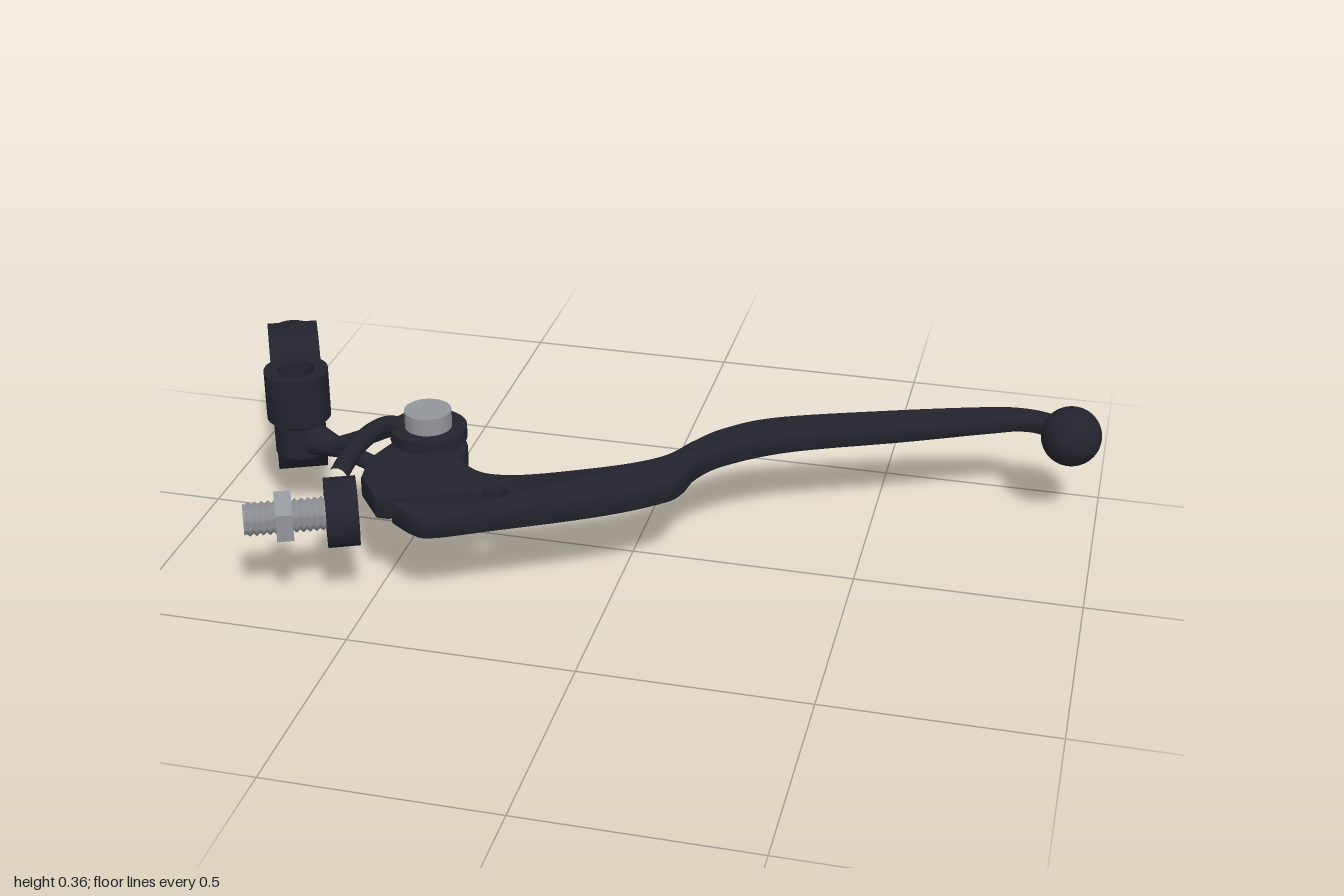
import * as THREE from 'three';
import { toCreasedNormals } from 'three/addons/utils/BufferGeometryUtils.js';

const black = new THREE.MeshStandardMaterial({ color: 0x23232e });
black.name = 'black metal';
const steel = new THREE.MeshStandardMaterial({ color: 0x92959a });
steel.name = 'bare steel';

const MID = 0.217;               // height of the lever's middle plane
const PIVOT = [-0.45, 0.06];     // lever pivot, x and z
const TURN = -1.159;             // heading of the clamp and the cable adjuster

export function createModel() {
  const model = new THREE.Group();
  model.name = 'brakeLever';

  const add = (parent, name, geometry, material, x = 0, y = 0, z = 0) => {
    const mesh = new THREE.Mesh(geometry, material);
    mesh.name = name;
    mesh.position.set(x, y, z);
    parent.add(mesh);
    return mesh;
  };
  const crease = (geometry) => toCreasedNormals(geometry, 0.6);
  // Turned part from [radius, height] points, listed from the bottom up the outside
  const turned = (points, sides = 40) =>
    crease(new THREE.LatheGeometry(points.map(([r, y]) => new THREE.Vector2(r, y)), sides));
  // Pipe section standing on y0
  const pipe = (inner, outer, y0, y1) =>
    turned([[inner, y0], [outer, y0], [outer, y1], [inner, y1], [inner, y0]]);
  const rod = (points, radius) => new THREE.TubeGeometry(
    new THREE.CatmullRomCurve3(points.map((p) => new THREE.Vector3(...p))), 24, radius, 12);
  const v2 = (points) => points.map((p) => new THREE.Vector2(...p));

  // Lever blade: outline in x and z, with a slot ending in a round hole
  const outline = new THREE.Shape();
  const hole = [-0.25, 0.222];
  outline.moveTo(-0.368, 0.085);
  outline.absarc(...PIVOT, 0.085, 0.3, -Math.PI, true);
  outline.lineTo(-0.562, 0.15);
  outline.lineTo(-0.55, 0.23);
  outline.lineTo(-0.49, 0.31);
  outline.lineTo(-0.464, 0.31);
  outline.absarc(...hole, 0.028, 3.07, 2.343 + Math.PI * 2, false);
  outline.lineTo(-0.448, 0.325);
  outline.splineThru(v2([[-0.39, 0.363], [-0.345, 0.365], [-0.24, 0.31], [-0.02, 0.19],
    [0.095, 0.105], [0.125, 0.055], [0.14, -0.015], [0.19, -0.09], [0.32, -0.185],
    [0.565, -0.29], [0.75, -0.375], [0.81, -0.4], [0.86, -0.395], [0.91, -0.35]]));
  outline.lineTo(0.94, -0.41);
  outline.splineThru(v2([[0.89, -0.44], [0.82, -0.458], [0.725, -0.443], [0.51, -0.367],
    [0.27, -0.268], [0.165, -0.185], [0.11, -0.105], [0.065, -0.025], [-0.025, 0.045],
    [-0.185, 0.127], [-0.275, 0.15], [-0.33, 0.133], [-0.368, 0.085]]));
  const blade = new THREE.ExtrudeGeometry(outline, {
    depth: 0.042, curveSegments: 8, bevelEnabled: true,
    bevelThickness: 0.006, bevelSize: 0.006, bevelOffset: -0.006, bevelSegments: 2,
  });
  blade.rotateX(Math.PI / 2);
  blade.translate(0, 0.021, 0);
  // Thin the blade towards the tip
  const pos = blade.attributes.position;
  for (let i = 0; i < pos.count; i++) {
    const t = THREE.MathUtils.clamp((pos.getX(i) + 0.1) / 0.8, 0, 1);
    pos.setY(i, pos.getY(i) * (1 - 0.35 * t));
  }
  add(model, 'leverBlade', crease(blade), black, 0, MID, 0);
  add(model, 'leverBall', new THREE.SphereGeometry(0.068, 40, 28), black, 0.927, MID, -0.375);

  // Pivot: two flanges around the blade, held by a bolt and nut
  const pivot = new THREE.Group();
  pivot.name = 'pivot';
  pivot.position.set(PIVOT[0], 0, PIVOT[1]);
  model.add(pivot);
  for (const [name, y] of [['upperFlange', 0.279], ['lowerFlange', 0.15]]) {
    add(pivot, name, new THREE.CylinderGeometry(0.085, 0.085, 0.027, 48), black, 0, y, 0);
  }
  add(pivot, 'boltShaft', new THREE.CylinderGeometry(0.03, 0.03, 0.2, 28), steel, 0, 0.215, 0);
  add(pivot, 'boltHead', new THREE.CylinderGeometry(0.052, 0.052, 0.04, 36), steel, 0, 0.313, 0);
  add(pivot, 'boltNut', turned([[0, 0.105], [0.026, 0.105], [0.026, 0.086], [0.052, 0.086],
    [0.052, 0.125], [0, 0.125]]), steel);

  // Mirror post with a through bore and a narrower foot
  add(model, 'mirrorPost', turned([[0.042, 0.16], [0.058, 0.16], [0.058, 0.235], [0.072, 0.245],
    [0.072, 0.36], [0.042, 0.36], [0.042, 0.16]]), black, -0.783, 0, -0.008);

  // Forked arms from the post to the flanges
  for (const [name, y] of [['upperArm', 0.277], ['lowerArm', 0.152]]) {
    add(model, name, rod([[-0.735, 0.2, 0.025], [-0.69, 0.205, 0.045],
      [-0.6, (y + 0.21) / 2, 0.055], [-0.53, y, 0.06], [-0.48, y, 0.06]], 0.019), black);
  }
  const neck = new THREE.CylinderGeometry(0.022, 0.036, 0.07, 20);
  neck.rotateZ(-Math.PI / 2);
  add(model, 'armNeck', neck, black, -0.7, 0.203, 0.035).rotation.y = -0.4;

  // Bent arm carrying the cable adjuster
  add(model, 'adjusterArm', rod([[-0.49, 0.283, 0.06], [-0.535, 0.298, 0.09], [-0.553, 0.315, 0.2],
    [-0.557, 0.312, 0.26], [-0.56, 0.298, 0.335]], 0.021), black);

  // Handlebar clamp: split ring, with the split facing away from the lever
  const clamp = new THREE.Group();
  clamp.name = 'handlebarClamp';
  clamp.position.set(-0.88, 0.173, -0.235);
  clamp.rotation.y = TURN;
  model.add(clamp);
  const ring = new THREE.Shape();
  ring.absarc(0, 0, 0.173, -Math.PI + 0.046, Math.PI - 0.046, false);
  ring.absarc(0, 0, 0.117, Math.PI - 0.068, -Math.PI + 0.068, true);
  ring.closePath();
  const ringGeometry = new THREE.ExtrudeGeometry(ring,
    { depth: 0.115, curveSegments: 64, bevelEnabled: false });
  ringGeometry.translate(0, 0, -0.0575);
  add(clamp, 'clampRing', crease(ringGeometry), black);
  add(clamp, 'upperLug', pipe(0.022, 0.045, 0.008, 0.097), black, -0.17, 0, 0);
  add(clamp, 'lowerLug', pipe(0.022, 0.045, -0.045, -0.008), black, -0.17, 0, 0);

  // Cable adjuster: barrel, lock nut and hollow threaded screw along local z
  const adjuster = new THREE.Group();
  adjuster.name = 'cableAdjuster';
  adjuster.position.set(-0.555, 0.215, 0.34);
  adjuster.rotation.y = TURN;
  model.add(adjuster);
  const along = (geometry) => geometry.rotateX(Math.PI / 2);
  add(adjuster, 'adjusterBarrel', along(pipe(0.034, 0.075, -0.034, 0.034)), black);
  add(adjuster, 'lockNut', along(crease(new THREE.CylinderGeometry(0.062, 0.062, 0.036, 6))),
    steel, 0, 0, 0.122);
  const thread = [[0.014, -0.02], [0.034, -0.02]];
  for (let y = -0.015; y < 0.2; y += 0.014) thread.push([0.037, y], [0.031, y + 0.007]);
  thread.push([0.034, 0.207], [0.014, 0.207], [0.014, -0.02]);
  add(adjuster, 'adjusterScrew', along(turned(thread, 28)), steel);

  return model;
}
